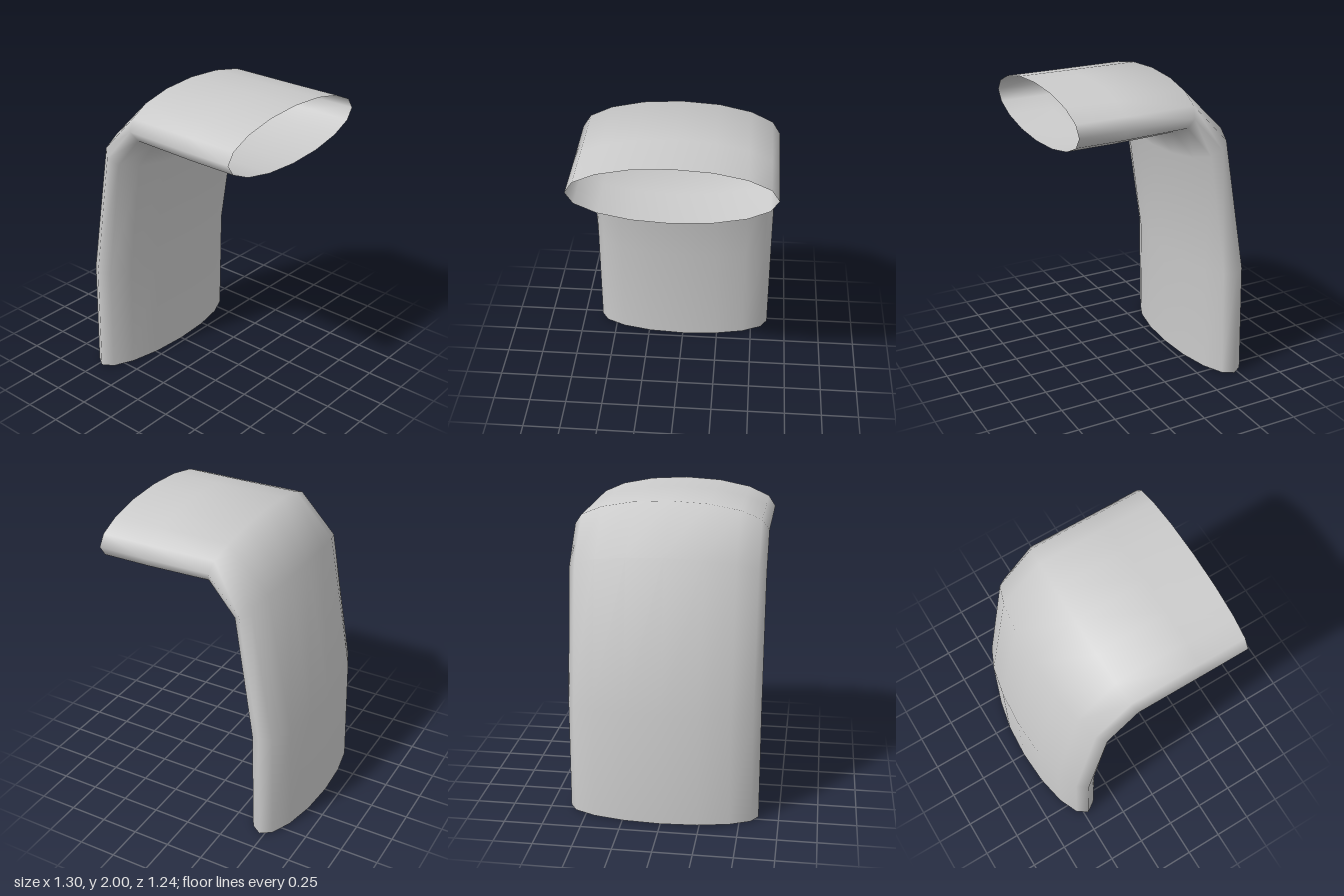
import * as THREE from 'three';

// Outer and inner bend points [outerX, outerY, innerX, innerY] from foot to outlet
const RINGS = [
  [-0.655, 0.005, -0.285, 0],
  [-0.64, 0.76, -0.275, 0.72],
  [-0.46, 1.71, -0.18, 1.48],
  [-0.165, 2.0, -0.06, 1.65],
  [0.32, 2.0, 0.34, 1.632],
  [0.65, 2.0, 0.65, 1.63],
];
const SIDES = 16;
const HALF_DEPTH = 0.62;

// Skin the elliptical cross-sections into one open tube
function bentDuctGeometry() {
  const positions = [];
  const indices = [];
  RINGS.forEach(([ox, oy, ix, iy], r) => {
    for (let s = 0; s < SIDES; s++) {
      const angle = (s / SIDES) * Math.PI * 2;
      const t = (1 + Math.cos(angle)) / 2;
      positions.push(ix + (ox - ix) * t, iy + (oy - iy) * t, HALF_DEPTH * Math.sin(angle));
      if (r < RINGS.length - 1) {
        const a = r * SIDES + s;
        const b = r * SIDES + ((s + 1) % SIDES);
        indices.push(a, b, b + SIDES, a, b + SIDES, a + SIDES);
      }
    }
  });
  const geometry = new THREE.BufferGeometry();
  geometry.setAttribute('position', new THREE.Float32BufferAttribute(positions, 3));
  geometry.setIndex(indices);
  geometry.computeVertexNormals();
  return geometry;
}

export function createModel() {
  const group = new THREE.Group();
  group.name = 'bentPipe';
  // Thin shell, open at both ends
  const material = new THREE.MeshStandardMaterial({ color: 0xcccccc, side: THREE.DoubleSide });
  const shell = new THREE.Mesh(bentDuctGeometry(), material);
  shell.name = 'pipeShell';
  group.add(shell);
  return group;
}
